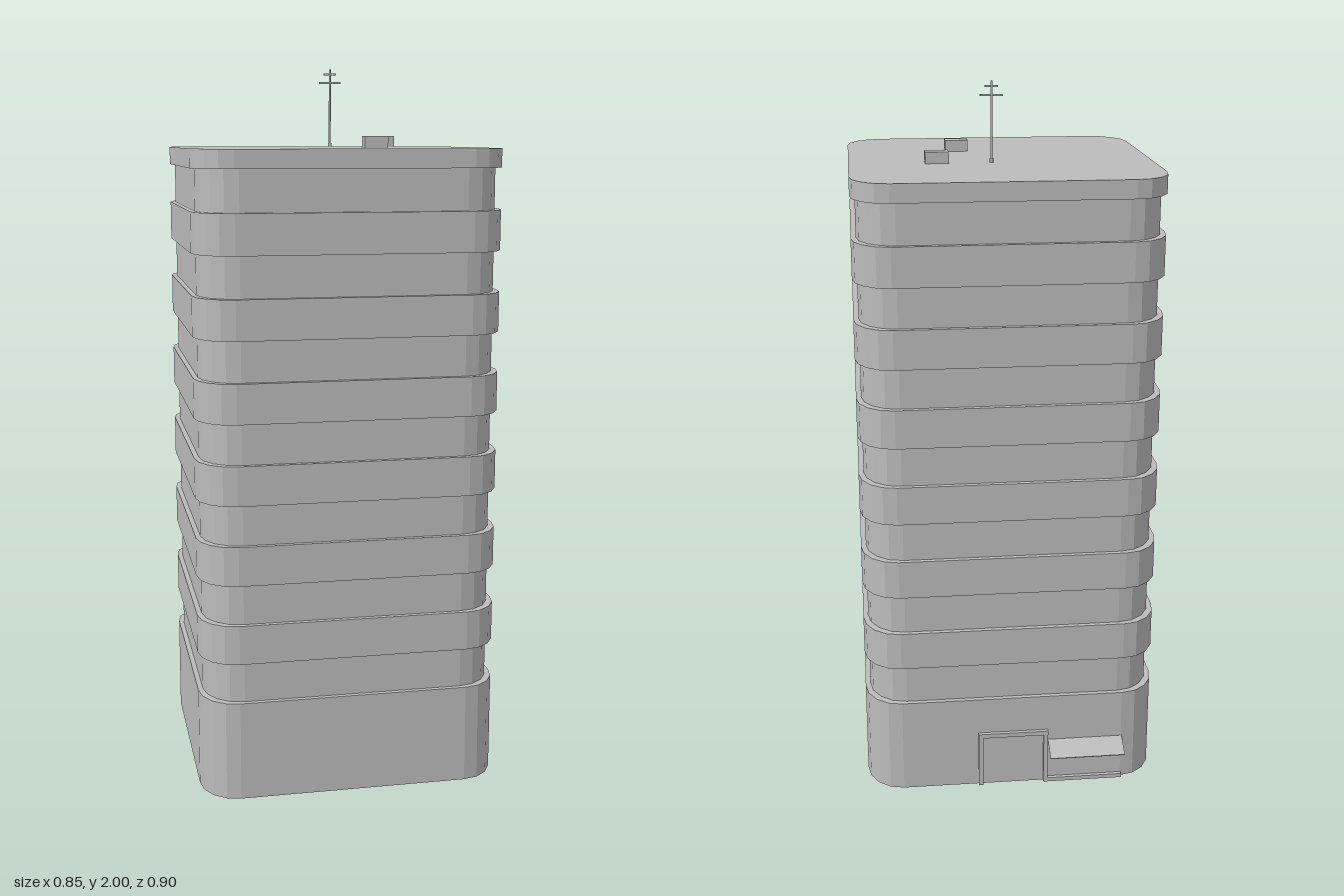
import * as THREE from 'three';

const concrete = new THREE.MeshStandardMaterial({ color: 0xbcbcbc, side: THREE.DoubleSide });
concrete.name = 'concrete grey';

const CENTER_Z = 0.029;

export function createModel() {
  const group = new THREE.Group();
  group.name = 'officeTower';

  const add = (name, geometry, parent = group) => {
    const mesh = new THREE.Mesh(geometry, concrete);
    mesh.name = name;
    parent.add(mesh);
    return mesh;
  };

  // Box given by its min and max along each axis
  const box = (name, [x0, x1], [y0, y1], [z0, z1], parent) => {
    const mesh = add(name, new THREE.BoxGeometry(x1 - x0, y1 - y0, z1 - z0), parent);
    mesh.position.set((x0 + x1) / 2, (y0 + y1) / 2, (z0 + z1) / 2);
    return mesh;
  };

  // Rounded floor slab with four facets on each corner
  const slab = (name, y0, y1, inset) => {
    const hx = 0.424 - inset, hz = 0.418 - inset, rx = 0.103, rz = 0.121;
    const points = [];
    [[1, 1], [-1, 1], [-1, -1], [1, -1]].forEach(([sx, sz], corner) => {
      for (let i = 0; i <= 4; i++) {
        const a = (corner + i / 4) * Math.PI / 2;
        points.push(new THREE.Vector2(
          sx * (hx - rx) + rx * Math.cos(a), sz * (hz - rz) + rz * Math.sin(a)));
      }
    });
    const geometry = new THREE.ExtrudeGeometry(new THREE.Shape(points),
      { depth: y1 - y0, bevelEnabled: false });
    geometry.rotateX(-Math.PI / 2);
    add(name, geometry).position.set(0, y0, CENTER_Z);
  };

  // Tower: ground floor, recessed core, projecting bands and roof slab
  slab('groundFloor', 0, 0.279, 0);
  slab('recessedCore', 0.279, 1.73, 0.014);
  for (let i = 0; i < 6; i++) {
    const y = 0.392 + i * 0.2225;
    slab('floorBand' + (i + 1), y, y + 0.11, 0);
  }
  slab('roofSlab', 1.727, 1.778, 0);

  // Rooftop ventilation units
  [[0.18, -0.049], [0.109, 0.178]].forEach(([x, z], i) => {
    box('roofUnit' + (i + 1), [x - 0.033, x + 0.033], [1.778, 1.81], [z - 0.02, z + 0.02]);
  });

  // Antenna mast with two crossbars
  const antenna = new THREE.Group();
  antenna.name = 'antenna';
  antenna.position.set(0.028, 0, -0.063);
  group.add(antenna);
  const rod = (name, radius, y0, y1) => {
    add(name, new THREE.CylinderGeometry(radius, radius, y1 - y0, 8), antenna)
      .position.y = (y0 + y1) / 2;
  };
  rod('mastFoot', 0.005, 1.778, 1.79);
  rod('mast', 0.003, 1.778, 2);
  box('lowerCrossbar', [-0.032, 0.032], [1.959, 1.964], [-0.002, 0.002], antenna);
  box('upperCrossbar', [-0.018, 0.018], [1.983, 1.988], [-0.002, 0.002], antenna);

  // Rear entrance frame
  const back = -0.386, front = -0.4;
  box('doorLintel', [-0.103, 0.101], [0.157, 0.17], [front, back]);
  for (const [name, x] of [['doorJambRight', -0.103], ['doorJambLeft', 0.088]]) {
    box(name, [x, x + 0.013], [0, 0.157], [front, back]);
  }

  // Shopfront sill and sloping awning beside the entrance
  box('shopSill', [-0.323, -0.103], [0, 0.012], [front, back]);
  const awning = add('awning',
    new THREE.BoxGeometry(0.219, 0.003, Math.hypot(0.06, 0.028)));
  awning.position.set(-0.2135, 0.121, -0.419);
  awning.rotation.x = -Math.atan2(0.028, 0.06);

  return group;
}
